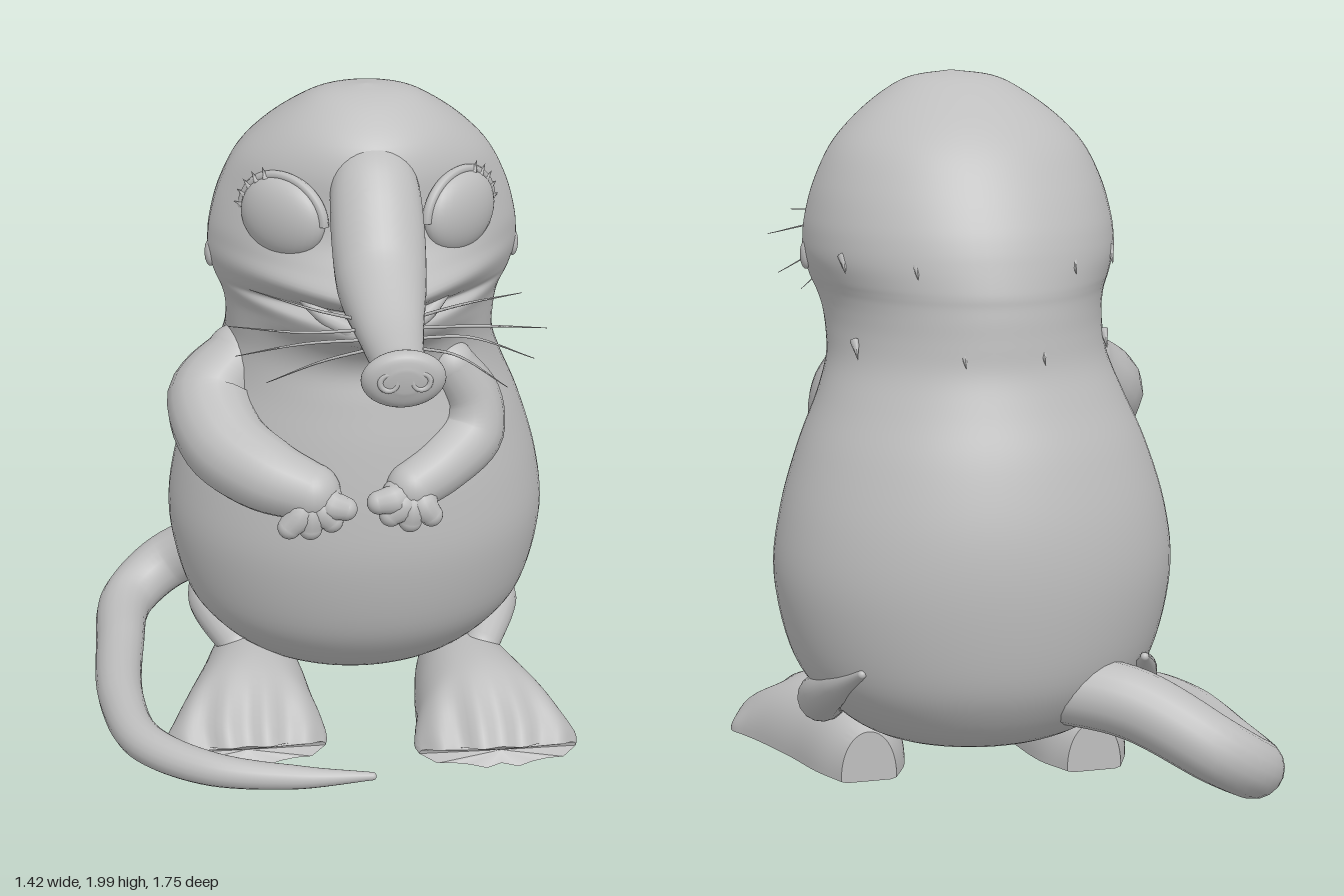
import * as THREE from 'three';
import { toCreasedNormals } from 'three/addons/utils/BufferGeometryUtils.js';

const V = (x, y, z) => new THREE.Vector3(x, y, z);
const AXIS = 0.09; // the body sits a little to the model's left of the tail

// Skin over rings of points, each counter-clockwise seen from the far end
function skin(rings) {
  const n = rings[0].length, pos = [], idx = [];
  rings.forEach(r => r.forEach(p => pos.push(p.x, p.y, p.z)));
  for (let i = 0; i < rings.length - 1; i++) for (let j = 0; j < n; j++) {
    const a = i * n + j, b = i * n + (j + 1) % n;
    idx.push(a, b, a + n, b, b + n, a + n);
  }
  [0, rings.length - 1].forEach((i, end) => {
    const c = rings[i].reduce((s, p) => s.add(p), V(0, 0, 0)).divideScalar(n);
    const k = pos.length / 3;
    pos.push(c.x, c.y, c.z);
    for (let j = 0; j < n; j++) {
      const a = i * n + j, b = i * n + (j + 1) % n;
      end ? idx.push(k, a, b) : idx.push(k, b, a);
    }
  });
  const g = new THREE.BufferGeometry();
  g.setAttribute('position', new THREE.Float32BufferAttribute(pos, 3));
  g.setIndex(idx);
  g.computeVertexNormals();
  return g;
}

// Smoothly interpolate table rows
function smoothRows(rows, count) {
  const curve = k => new THREE.CatmullRomCurve3(rows.map(r => V(r[k], r[k + 1], r[k + 2])), false, 'catmullrom', 0.5);
  const a = curve(0), b = curve(3), out = [];
  for (let i = 0; i <= count; i++) out.push([...a.getPoint(i / count).toArray(), ...b.getPoint(i / count).toArray()]);
  return out;
}

// Tube of changing radius through [x, y, z, r]
function taper(pts, segs = 24, sides = 16) {
  const path = new THREE.CatmullRomCurve3(pts.map(p => V(p[0], p[1], p[2])));
  const g = new THREE.TubeGeometry(path, segs, 1, sides, false);
  const pos = g.attributes.position, v = V(0, 0, 0);
  for (let i = 0; i <= segs; i++) {
    const c = path.getPointAt(i / segs), t = path.getUtoTmapping(i / segs) * (pts.length - 1);
    const k = Math.min(Math.floor(t), pts.length - 2);
    const r = THREE.MathUtils.lerp(pts[k][3], pts[k + 1][3], t - k);
    for (let j = 0; j <= sides; j++) {
      const id = i * (sides + 1) + j;
      v.fromBufferAttribute(pos, id).sub(c).multiplyScalar(r).add(c);
      pos.setXYZ(id, v.x, v.y, v.z);
    }
  }
  return g;
}

export function createModel() {
  const model = new THREE.Group();
  const grey = new THREE.MeshStandardMaterial({ color: 0xbebebe });
  grey.name = 'grey';

  function add(name, geo, parent = model) {
    const m = new THREE.Mesh(geo, grey);
    m.name = name;
    parent.add(m);
    return m;
  }
  function ball(name, p, s, parent) {
    const m = add(name, new THREE.SphereGeometry(1, 28, 20), parent);
    m.position.set(...p);
    m.scale.set(...s);
    return m;
  }
  // Tapered limb with rounded ends
  function limb(name, pts, segs, sides) {
    const g = new THREE.Group();
    g.name = name;
    model.add(g);
    add(name + 'Tube', taper(pts, segs, sides), g);
    [pts[0], pts[pts.length - 1]].forEach(p => ball(name + 'End', p.slice(0, 3), [p[3], p[3], p[3]], g));
  }

  // Body and head: y, half width, z of widest point, z back, z front, front pinch
  const rows = [
    [0.15, 0.02, -0.27, -0.29, -0.25, 1], [0.155, 0.2, -0.27, -0.45, -0.1, 1],
    [0.2, 0.34, -0.27, -0.58, 0.02, 1], [0.3, 0.455, -0.26, -0.67, 0.13, 1],
    [0.42, 0.525, -0.25, -0.72, 0.2, 1], [0.62, 0.565, -0.25, -0.745, 0.245, 1],
    [0.8, 0.545, -0.25, -0.735, 0.245, 1], [0.98, 0.49, -0.24, -0.69, 0.225, 1],
    [1.12, 0.43, -0.22, -0.635, 0.2, 1], [1.22, 0.395, -0.18, -0.6, 0.185, 1],
    [1.3, 0.39, -0.13, -0.59, 0.24, 1.2], [1.36, 0.395, -0.1, -0.585, 0.36, 1.5],
    [1.4, 0.405, -0.08, -0.58, 0.375, 1.55], [1.425, 0.415, -0.07, -0.578, 0.29, 1.5],
    [1.45, 0.425, -0.07, -0.573, 0.35, 1.55], [1.5, 0.44, -0.07, -0.56, 0.45, 1.65],
    [1.55, 0.442, -0.07, -0.545, 0.36, 1.55], [1.61, 0.435, -0.07, -0.52, 0.28, 1.4],
    [1.7, 0.41, -0.07, -0.47, 0.25, 1.35], [1.8, 0.36, -0.07, -0.4, 0.235, 1.2],
    [1.88, 0.285, -0.06, -0.315, 0.2, 1.1], [1.95, 0.19, -0.04, -0.205, 0.12, 1],
    [1.985, 0.115, -0.03, -0.12, 0.055, 1], [2.0, 0.005, -0.02, -0.025, -0.015, 1]
  ];
  add('bodyAndHead', skin(smoothRows(rows, 115).map(([y, w, zc, zb, zf, p]) => {
    const ring = [];
    for (let j = 0; j < 72; j++) {
      const a = j / 72 * Math.PI * 2, c = Math.cos(a), s = -Math.sin(a), q = s > 0 ? p : 1;
      ring.push(V(AXIS + w * Math.sign(c) * Math.abs(c) ** q, y,
        zc + (s > 0 ? zf - zc : zc - zb) * Math.sign(s) * Math.abs(s) ** q));
    }
    return ring;
  })));

  // Snout with its ridge up the forehead: z, centre y, half width, half height
  const snout = [
    [0.08, 1.82, 0.1, 0.08, 0, 0], [0.2, 1.76, 0.122, 0.11, 0, 0], [0.28, 1.67, 0.128, 0.13, 0, 0],
    [0.35, 1.58, 0.125, 0.13, 0, 0], [0.42, 1.53, 0.115, 0.108, 0, 0], [0.58, 1.483, 0.087, 0.07, 0, 0],
    [0.74, 1.462, 0.07, 0.062, 0, 0], [0.79, 1.46, 0.08, 0.068, 0, 0], [0.83, 1.463, 0.11, 0.083, 0, 0],
    [0.86, 1.466, 0.09, 0.07, 0, 0], [0.875, 1.468, 0.04, 0.03, 0, 0]
  ];
  add('snout', skin(smoothRows(snout, 50).map(([z, y, w, h]) => {
    const ring = [];
    for (let j = 0; j < 32; j++) {
      const a = j / 32 * Math.PI * 2;
      ring.push(V(AXIS + w * Math.cos(a), y + h * Math.sin(a), z + 0.15 * h * Math.sin(a)));
    }
    return ring;
  })));
  // Lower lip
  add('lowerLip', taper([[-0.13, 1.475, 0.19, 0.012], [-0.04, 1.415, 0.27, 0.022], [AXIS, 1.385, 0.34, 0.028],
    [0.22, 1.415, 0.27, 0.022], [0.31, 1.475, 0.19, 0.012]], 30, 10));

  for (const s of [-1, 1]) {
    const X = d => AXIS + s * d;

    // Nostril rims
    const rim = add('nostril', new THREE.TorusGeometry(0.022, 0.008, 8, 20));
    rim.position.set(X(0.042), 1.468, 0.868);

    // Eye with lid and lashes, turned outwards
    const eye = new THREE.Group();
    eye.name = 'eye';
    eye.position.set(X(0.245), 1.67, 0.13);
    eye.rotation.y = s * 0.75;
    model.add(eye);
    ball('eyeball', [0, 0, 0], [0.14, 0.115, 0.06], eye);
    const lid = add('eyelid', new THREE.TorusGeometry(0.128, 0.014, 8, 28, Math.PI), eye);
    lid.scale.set(1.1, 0.92, 1);
    for (let i = 0; i < 5; i++) {
      const a = 0.1 + i * 0.27, lash = add('eyelash', new THREE.ConeGeometry(0.01, 0.035, 6), eye);
      lash.position.set(s * 0.148 * Math.cos(a), 0.128 * Math.sin(a), 0.01);
      lash.rotation.z = s * (a - Math.PI / 2);
    }

    // Ear and fur tufts
    ball('ear', [X(0.435), 1.5, -0.08], [0.016, 0.04, 0.025]);
    for (const [x, y, z] of [[0.38, 1.5, -0.32], [0.22, 1.5, -0.49], [0.355, 1.27, -0.35], [0.11, 1.27, -0.57]]) {
      const tuft = add('furTuft', new THREE.ConeGeometry(0.014, 0.06, 6));
      tuft.position.set(X(x), y, z);
      tuft.rotation.x = -2.5;
    }

    // Whiskers
    [[0.36, 1.56, 0.5], [0.42, 1.48, 0.56], [0.4, 1.37, 0.5], [0.32, 1.31, 0.55]].forEach(([x, y, z], i) => {
      const back = s < 0 ? 0.1 : 0;
      add('whisker', taper([[X(0.07), 1.5 - i * 0.015, 0.5 + i * 0.035, 0.005],
        [X(x * 0.55), (y + 1.53) / 2, z + 0.03, 0.004], [X(x), y, z - back, 0.001]], 12, 5));
    });

    // Foot: z, centre, half width, height, toe amount
    const dz = s < 0 ? -0.08 : 0;
    const sole = [
      [-0.31, 0.32, 0.08, 0.14, 0, 0], [-0.2, 0.32, 0.13, 0.185, 0, 0], [-0.05, 0.33, 0.165, 0.205, 0, 0],
      [0.1, 0.35, 0.2, 0.205, 0, 0], [0.2, 0.36, 0.225, 0.175, 0.25, 0], [0.3, 0.37, 0.243, 0.11, 0.75, 0],
      [0.365, 0.37, 0.235, 0.055, 1, 0]
    ];
    add('foot', toCreasedNormals(skin(smoothRows(sole, 30).map(([z, c, w, h, toe]) => {
      const ring = [];
      const point = (u, y) => ring.push(V(X(c + s * w * u), y,
        z + dz - toe * (0.07 * u * u + 0.015 * Math.cos(u * Math.PI * 4))));
      for (let j = 0; j <= 40; j++) {
        const a = j / 40 * Math.PI, u = Math.cos(a);
        point(u, 0.035 + h * Math.sin(a) ** 0.9 * (1 - 0.1 * toe * Math.cos(u * Math.PI * 4)));
      }
      for (let j = 1; j < 10; j++) point(-1 + j / 5, 0.03);
      return ring;
    })), 0.9));
    // Thigh hugging the body
    limb('thigh', [[X(0.395), 0.42, -0.56 + dz / 2, 0.012], [X(0.435), 0.345, -0.42 + dz / 2, 0.045],
      [X(0.44), 0.27, -0.25 + dz, 0.07], [X(0.37), 0.2, -0.07 + dz, 0.055]]);
  }

  // Arms, each with a chunky four-fingered hand
  limb('rightArm', [[-0.265, 1.165, -0.11, 0.1], [-0.35, 1.07, -0.04, 0.13], [-0.32, 0.98, 0.09, 0.125],
    [-0.21, 0.92, 0.19, 0.11], [-0.09, 0.88, 0.235, 0.085]]);
  limb('leftArm', [[0.325, 1.2, 0.09, 0.07], [0.385, 1.09, 0.09, 0.09], [0.38, 1.0, 0.12, 0.1],
    [0.29, 0.93, 0.19, 0.085], [0.2, 0.885, 0.235, 0.075]]);
  const fingers = (name, palm, tips) => tips.forEach(([x, y]) => limb(name, [
    [palm[0] + (x - palm[0]) * 0.4, palm[1] - 0.01, 0.255, 0.05],
    [(x + palm[0]) / 2, (y + palm[1]) / 2, 0.275, 0.047], [x, y, 0.27, 0.034]], 8, 12));
  fingers('rightFinger', [-0.09, 0.88], [[-0.155, 0.79], [-0.095, 0.785], [-0.035, 0.805], [0.005, 0.84]]);
  fingers('leftFinger', [0.2, 0.88], [[0.25, 0.81], [0.19, 0.795], [0.135, 0.815], [0.1, 0.855]]);

  // Tail curling round the right side to the front
  limb('tail', [[-0.05, 0.34, -0.53, 0.1], [-0.25, 0.31, -0.67, 0.1], [-0.46, 0.19, -0.785, 0.092],
    [-0.595, 0.105, -0.7, 0.085], [-0.635, 0.085, -0.4, 0.075], [-0.64, 0.08, -0.05, 0.068],
    [-0.58, 0.072, 0.19, 0.06], [-0.4, 0.062, 0.345, 0.05], [-0.15, 0.052, 0.405, 0.035],
    [0.07, 0.045, 0.41, 0.012]], 80, 18);

  return model;
}
